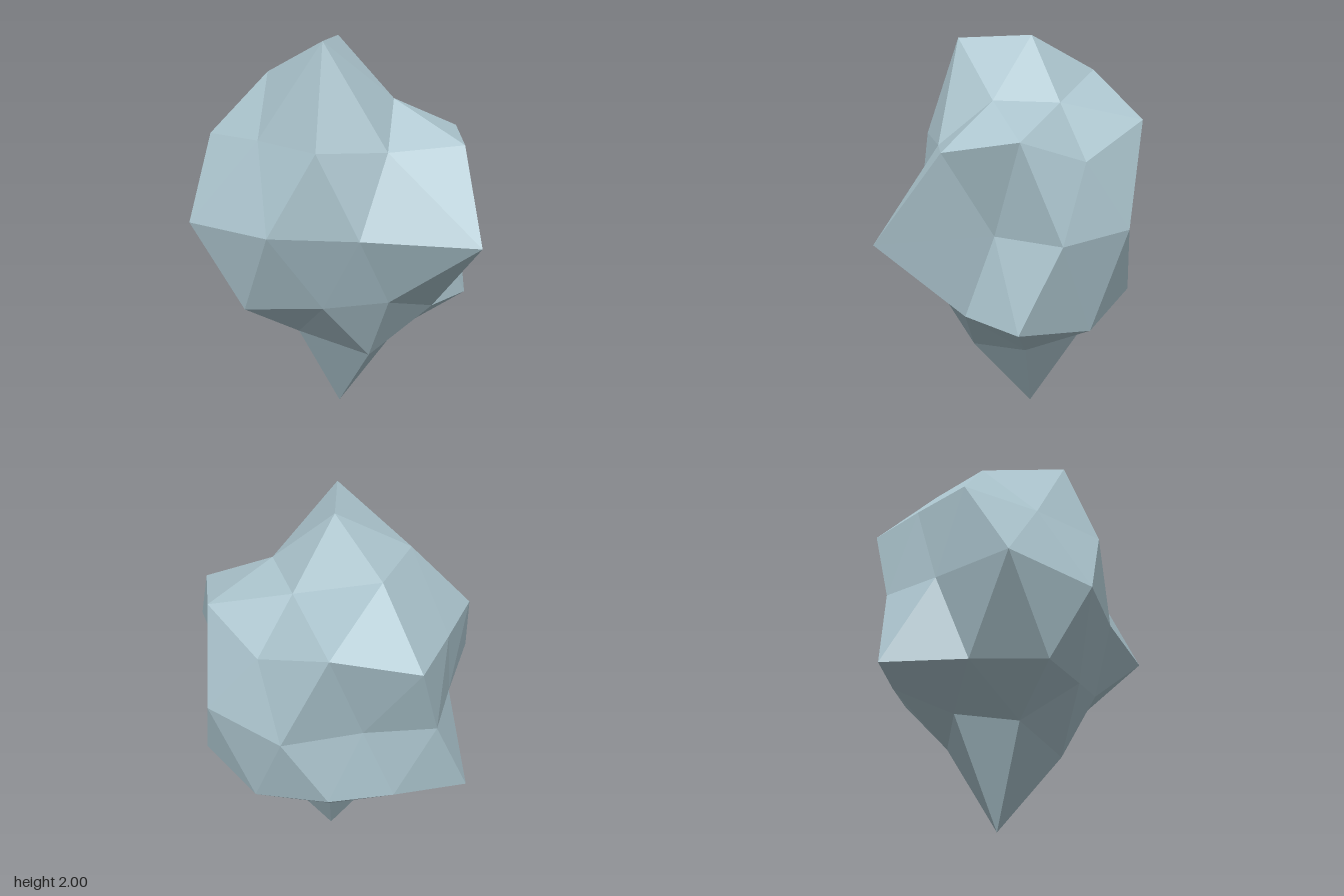
import * as THREE from 'three';
import { ConvexGeometry } from 'three/addons/geometries/ConvexGeometry.js';

// Rings of a subdivided icosahedron: height on the unit sphere, first azimuth
// in degrees (from +x towards +z), and the radius of each evenly spaced point.
const RINGS = [
  { y: 1, start: 0, radii: [0.78] },
  { y: 0.8507, start: 0, radii: [0.62, 0.9, 0.735, 0.735, 0.605] },
  { y: 0.5257, start: 36, radii: [0.64, 0.69, 0.685, 0.825, 0.76] },
  { y: 0.4472, start: 0, radii: [0.8, 0.775, 0.8, 0.8, 0.66] },
  { y: 0, start: 18, radii: [0.975, 0.675, 0.79, 0.9, 0.605, 0.65, 0.53, 0.745, 0.77, 0.51] },
  { y: -0.4472, start: 36, radii: [0.635, 0.795, 0.85, 0.72, 0.81] },
  { y: -0.5257, start: 0, radii: [0.66, 0.62, 0.67, 0.67, 0.78] },
  { y: -0.8507, start: 36, radii: [0.68, 0.605, 0.565, 0.64, 0.645] },
  { y: -1, start: 0, radii: [0.915] },
];

const CENTRE = new THREE.Vector3(-0.085, 1.08, -0.022);
const STRETCH = new THREE.Vector3(1, 1.18, 0.79);

function createRockGeometry() {
  const points = [];
  for (const { y, start, radii } of RINGS) {
    const across = Math.sqrt(1 - y * y);
    radii.forEach((radius, i) => {
      const a = THREE.MathUtils.degToRad(start + (i * 360) / radii.length);
      const dir = new THREE.Vector3(across * Math.cos(a), y, across * Math.sin(a));
      points.push({ dir, radius });
    });
  }

  // Even faceted ball, then each corner is pushed in or out along its direction
  const geometry = new ConvexGeometry(points.map((p) => p.dir.clone()));
  const position = geometry.attributes.position;
  const v = new THREE.Vector3();
  for (let i = 0; i < position.count; i++) {
    v.fromBufferAttribute(position, i);
    const corner = points.reduce((best, p) =>
      p.dir.distanceToSquared(v) < best.dir.distanceToSquared(v) ? p : best);
    v.copy(corner.dir).multiplyScalar(corner.radius).multiply(STRETCH).add(CENTRE);
    position.setXYZ(i, v.x, v.y, v.z);
  }
  geometry.computeVertexNormals();
  return geometry;
}

export function createModel() {
  const model = new THREE.Group();
  model.name = 'facetedRock';

  const paleBlueStone = new THREE.MeshStandardMaterial({ color: 0xabc4cd, flatShading: true });
  paleBlueStone.name = 'paleBlueStone';

  const rock = new THREE.Mesh(createRockGeometry(), paleBlueStone);
  rock.name = 'rock';
  model.add(rock);
  return model;
}
